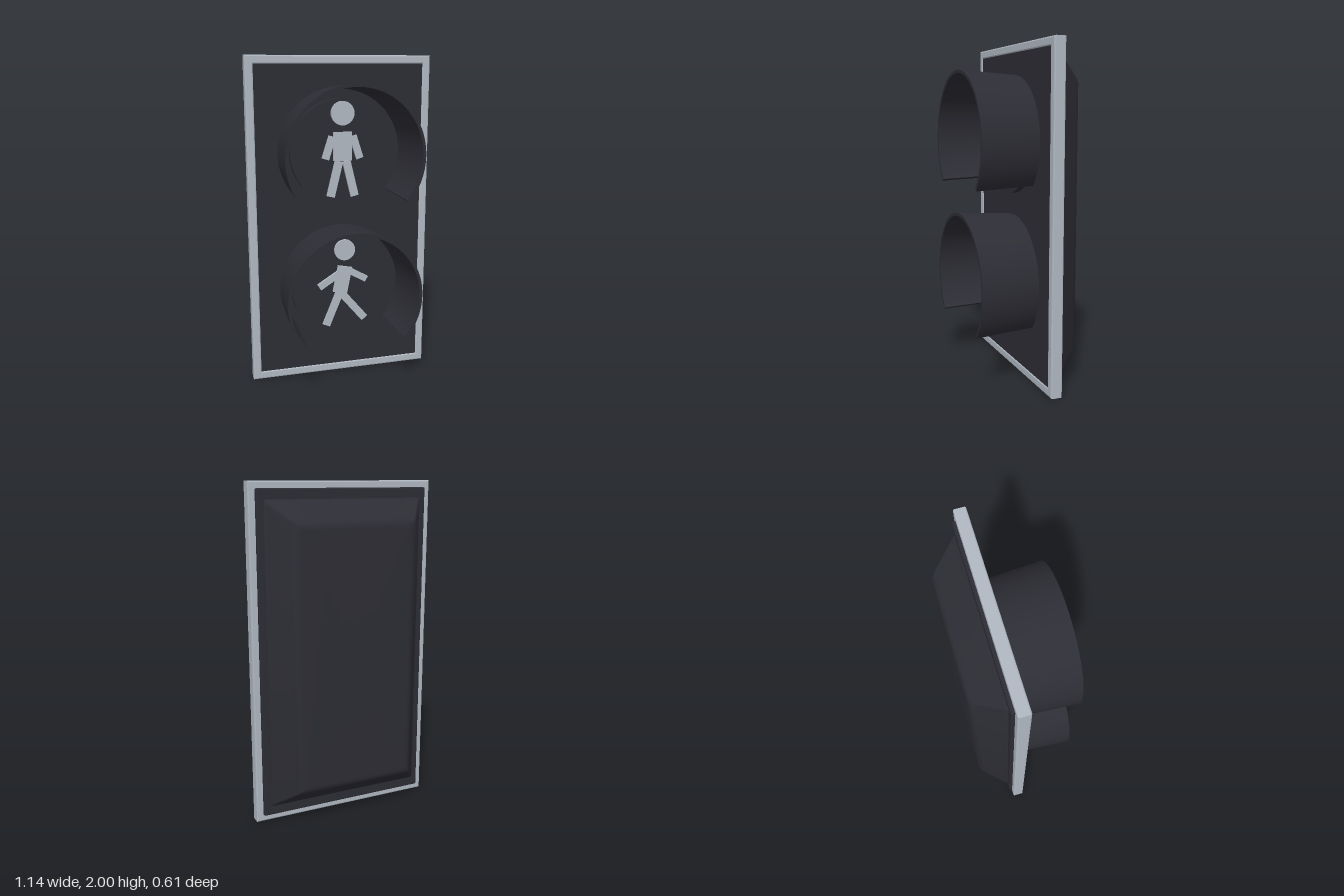
import * as THREE from 'three';
import { toCreasedNormals } from 'three/addons/utils/BufferGeometryUtils.js';
import { RoundedBoxGeometry } from 'three/addons/geometries/RoundedBoxGeometry.js';

const dark = new THREE.MeshStandardMaterial({ color: 0x2d2d35 });
dark.name = 'dark plastic';
const light = new THREE.MeshStandardMaterial({ color: 0xb1b9c3 });
light.name = 'pale grey';

function add(parent, name, geometry, material, x = 0, y = 0, z = 0) {
  const mesh = new THREE.Mesh(geometry, material);
  mesh.name = name;
  mesh.position.set(x, y, z);
  parent.add(mesh);
  return mesh;
}

function rectangle(path, w, h) {
  path.moveTo(-w, -h);
  path.lineTo(w, -h);
  path.lineTo(w, h);
  path.lineTo(-w, h);
  path.closePath();
  return path;
}

// Border frame with softened edges
function frameGeometry() {
  const shape = rectangle(new THREE.Shape(), 0.57, 1);
  shape.holes.push(rectangle(new THREE.Path(), 0.52, 0.95));
  const b = 0.008;
  return new THREE.ExtrudeGeometry(shape, {
    depth: 0.07 - 2 * b, bevelThickness: b, bevelSize: b, bevelOffset: -b, bevelSegments: 2,
  }).translate(0, 0, b);
}

// Tapered rear housing: rounded rectangles joined along a profile of [inset, z]
function housingGeometry() {
  const profile = [[0.008, -0.13], [0, -0.134], [0, -0.139], [0.005, -0.146], [0.012, -0.155],
    [0.093, -0.261], [0.102, -0.272], [0.114, -0.287], [0.128, -0.298], [0.144, -0.304], [0.16, -0.305]];
  const r = 0.012, steps = 3, n = 4 * (steps + 1);
  const pos = [], index = [];
  for (const [inset, z] of profile) {
    for (let c = 0; c < 4; c++) {
      const sx = c === 0 || c === 3 ? 1 : -1, sy = c < 2 ? 1 : -1;
      for (let s = 0; s <= steps; s++) {
        const a = (c + s / steps) * Math.PI / 2;
        pos.push(sx * (0.49 - inset - r) + r * Math.cos(a), sy * (0.9 - inset - r) + r * Math.sin(a), z);
      }
    }
  }
  for (let i = 0; i < profile.length - 1; i++) {
    for (let j = 0; j < n; j++) {
      const k = (j + 1) % n, a = i * n + j, b = i * n + k;
      index.push(a, a + n, b, b, a + n, b + n);
    }
  }
  // rear face
  const last = (profile.length - 1) * n, centre = pos.length / 3;
  pos.push(0, 0, profile[profile.length - 1][1]);
  for (let j = 0; j < n; j++) index.push(centre, last + (j + 1) % n, last + j);
  const g = new THREE.BufferGeometry();
  g.setAttribute('position', new THREE.Float32BufferAttribute(pos, 3));
  g.setIndex(index);
  return toCreasedNormals(g, 0.6);
}

// Open-bottomed hood that flares towards the front
function visorGeometry() {
  const a0 = -40 * Math.PI / 180, a1 = 220 * Math.PI / 180, depth = 0.355;
  const shape = new THREE.Shape();
  shape.absarc(0, 0, 0.413, a0, a1, false);
  shape.absarc(0, 0, 0.395, a1, a0, true);
  shape.closePath();
  const g = new THREE.ExtrudeGeometry(shape, { depth, bevelEnabled: false, curveSegments: 36 });
  const p = g.attributes.position;
  for (let i = 0; i < p.count; i++) {
    const k = 0.943 + 0.057 * p.getZ(i) / depth;
    p.setXY(i, p.getX(i) * k, p.getY(i) * k);
  }
  return toCreasedNormals(g, 0.5);
}

function disc(radius, depth) {
  return new THREE.CylinderGeometry(radius, radius, depth, 64).rotateX(Math.PI / 2);
}

// Flat bar between two points of a figure
function limb(parent, name, [x0, y0, x1, y1, width]) {
  const bar = add(parent, name, new THREE.BoxGeometry(width, Math.hypot(x1 - x0, y1 - y0), 0.018),
    light, (x0 + x1) / 2, (y0 + y1) / 2, -0.004);
  bar.rotation.z = Math.atan2(y1 - y0, x1 - x0) - Math.PI / 2;
}

// Figures, measured from the centre of each lens
const figures = [
  {
    name: 'standingFigure', y: 1.432, head: [0, 0.232, 0.072],
    limbs: {
      torso: [0, 0.121, 0, -0.052, 0.115],
      rightArm: [-0.064, 0.096, -0.108, -0.04, 0.045],
      leftArm: [0.064, 0.096, 0.108, -0.04, 0.045],
      rightLeg: [-0.023, -0.054, -0.076, -0.27, 0.05],
      leftLeg: [0.023, -0.054, 0.076, -0.27, 0.05],
    },
  },
  {
    name: 'walkingFigure', y: 0.587, head: [0.013, 0.234, 0.066],
    limbs: {
      torso: [0.016, 0.126, -0.018, -0.041, 0.092],
      rightArm: [-0.02, 0.084, -0.152, 0.002, 0.042],
      leftArm: [0.046, 0.095, 0.155, 0.034, 0.04],
      rightLeg: [-0.018, -0.036, -0.108, -0.252, 0.048],
      leftLeg: [-0.008, -0.046, 0.144, -0.226, 0.048],
    },
  },
];

export function createModel() {
  const model = new THREE.Group();
  model.name = 'pedestrianSignal';

  add(model, 'frame', frameGeometry(), light, 0, 1, -0.115);
  add(model, 'frontPanel', new THREE.BoxGeometry(1.045, 1.905, 0.065), dark, 0, 1, -0.0825);
  add(model, 'backPlate', new RoundedBoxGeometry(1.06, 1.92, 0.03, 2, 0.008), dark, 0, 1, -0.12);
  add(model, 'rearHousing', housingGeometry(), dark, 0, 1, 0);

  const visor = visorGeometry();
  for (const f of figures) {
    const lamp = new THREE.Group();
    lamp.name = f.name + 'Lamp';
    lamp.position.y = f.y;
    model.add(lamp);
    add(lamp, 'visor', visor, dark, 0, 0, -0.05);
    add(lamp, 'lens', disc(0.32, 0.045), dark, 0, 0, -0.0345);

    const figure = new THREE.Group();
    figure.name = f.name;
    lamp.add(figure);
    const [hx, hy, hr] = f.head;
    add(figure, 'head', disc(hr, 0.018), light, hx, hy, -0.004);
    for (const [name, bar] of Object.entries(f.limbs)) limb(figure, name, bar);
  }
  return model;
}
